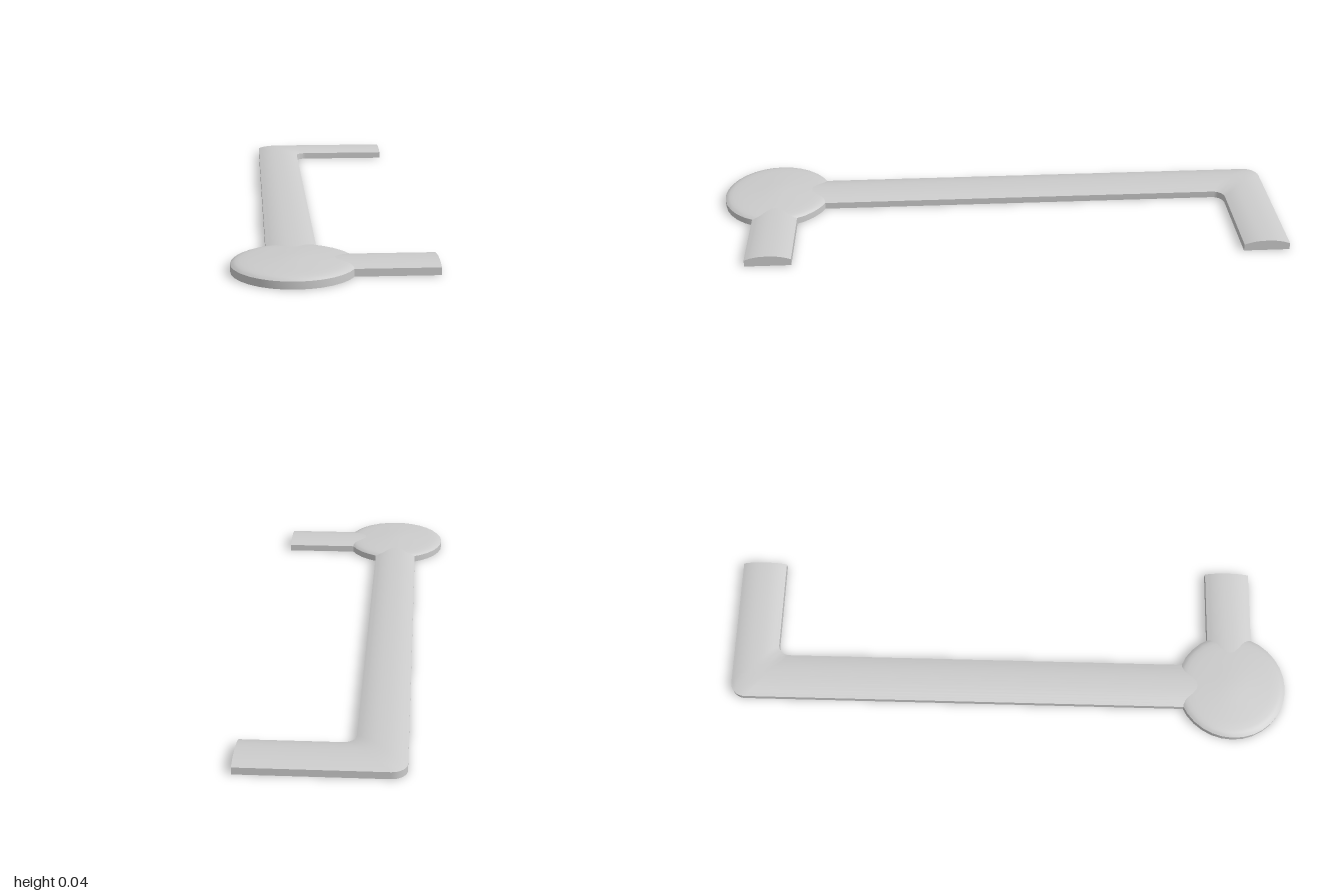
import * as THREE from 'three';
import { toCreasedNormals } from 'three/addons/utils/BufferGeometryUtils.js';

const WALL = 0.024, CROWN = 0.014, STEPS = 16;
const material = new THREE.MeshStandardMaterial({ color: 0xcccccc });

// Flat-bottomed bar with a crowned top, lofted through sections
// given as [right edge, left edge] pairs of [x, z] along the run.
function crownedBar(name, sections) {
  const ring = STEPS + 3;
  const pos = [], index = [];
  for (const [r, l] of sections) {
    const put = (t, y) => pos.push(r[0] + (l[0] - r[0]) * t, y, r[1] + (l[1] - r[1]) * t);
    put(0, 0);
    for (let k = 0; k <= STEPS; k++) {
      const u = -Math.cos((k / STEPS) * Math.PI); // finer near the edges
      put((u + 1) / 2, WALL + CROWN * (1 - Math.abs(u) ** 2.4));
    }
    put(1, 0);
  }
  for (let i = 0; i < sections.length - 1; i++) {
    for (let j = 0; j < ring; j++) {
      const n = (j + 1) % ring;
      const a = i * ring + j, b = i * ring + n, c = b + ring, d = a + ring;
      index.push(a, c, b, a, d, c);
    }
  }
  // End caps
  const end = (sections.length - 1) * ring;
  for (let k = 1; k < ring - 1; k++) {
    index.push(0, k, k + 1, end, end + k + 1, end + k);
  }
  const geometry = new THREE.BufferGeometry();
  geometry.setAttribute('position', new THREE.Float32BufferAttribute(pos, 3));
  geometry.setIndex(index);
  const mesh = new THREE.Mesh(toCreasedNormals(geometry, 0.6), material);
  mesh.name = name;
  return mesh;
}

export function createModel() {
  const group = new THREE.Group();
  group.name = 'bracket';

  // Long arm turning through a rounded elbow into the far arm
  const sections = [[[-0.045, 0.72], [-0.205, 0.72]]];
  const outer = 0.05, inner = 0.04;
  for (let i = 0; i <= 8; i++) {
    const t = (i / 8) * Math.PI / 2, c = Math.cos(t), s = Math.sin(t);
    sections.push([
      [-0.045 + inner * (1 - c), -0.84 + inner * (1 - s)],
      [-0.205 + outer * (1 - c), -1 + outer * (1 - s)],
    ]);
  }
  sections.push([[0.315, -0.84], [0.315, -1]]);
  group.add(crownedBar('longArm', sections));

  // Short arm on the disc
  group.add(crownedBar('shortArm', [
    [[-0.04, 0.885], [-0.04, 0.725]],
    [[0.315, 0.885], [0.315, 0.725]],
  ]));

  // Domed disc with a straight rim
  const profile = [
    [0, 0], [0.193, 0], [0.193, WALL], [0.188, 0.028], [0.178, 0.032], [0.165, 0.0345],
    [0.14, 0.037], [0.1, 0.0395], [0.06, 0.042], [0.03, 0.0435], [0, 0.044],
  ].map(([x, y]) => new THREE.Vector2(x, y));
  const disc = new THREE.Mesh(toCreasedNormals(new THREE.LatheGeometry(profile, 32), 0.6), material);
  disc.name = 'disc';
  disc.position.set(-0.122, 0, 0.807);
  group.add(disc);

  return group;
}
